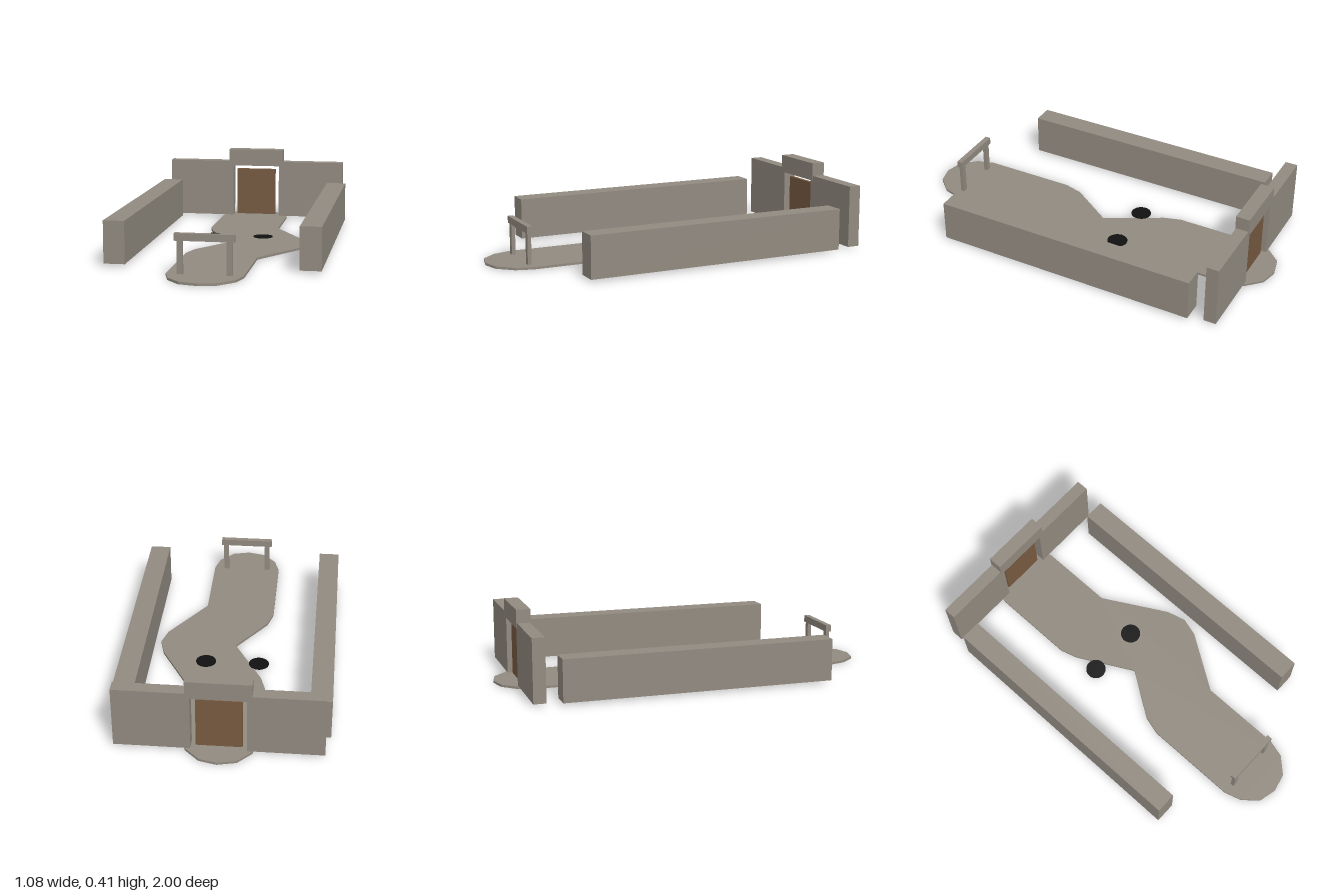
import * as THREE from 'three';

const stone = new THREE.MeshStandardMaterial({ color: 0x918a80, flatShading: true });
const wood = new THREE.MeshStandardMaterial({ color: 0x775a40, flatShading: true });
const black = new THREE.MeshStandardMaterial({ color: 0x111111 });

const FLOOR = 0.012; // top of the path, where everything stands

export function createModel() {
  const model = new THREE.Group();

  const add = (name, geometry, material, parent = model) => {
    const mesh = new THREE.Mesh(geometry, material);
    mesh.name = name;
    parent.add(mesh);
    return mesh;
  };

  // Box given by its extents along each axis
  const box = (name, [x0, x1], [y0, y1], [z0, z1], material = stone, parent = model) =>
    add(name, new THREE.BoxGeometry(x1 - x0, y1 - y0, z1 - z0), material, parent)
      .position.set((x0 + x1) / 2, (y0 + y1) / 2, (z0 + z1) / 2);

  const mirrored = (side, inner, outer) => side > 0 ? [inner, outer] : [-outer, -inner];

  // Winding path: outline as [x, z], with rounded ends and a bend to +x
  const outline = [
    [0, -1], [0.09, -0.978], [0.163, -0.905], [0.188, -0.82],
    [0.188, -0.43], [0.375, -0.1], [0.402, 0], [0.375, 0.095], [0.188, 0.38],
    [0.188, 0.81], [0.163, 0.9], [0.09, 0.977], [0, 1],
    [-0.095, 0.977], [-0.163, 0.9], [-0.19, 0.81],
    [-0.19, 0.325], [-0.163, 0.226], [-0.006, -0.005], [-0.163, -0.295], [-0.19, -0.385],
    [-0.19, -0.82], [-0.163, -0.905], [-0.095, -0.978],
  ];
  const pathShape = new THREE.Shape(outline.map(([x, z]) => new THREE.Vector2(x, -z)));
  const pathGeometry = new THREE.ExtrudeGeometry(pathShape, { depth: FLOOR, bevelEnabled: false });
  pathGeometry.rotateX(-Math.PI / 2);
  add('path', pathGeometry, stone);

  // Back wall with a doorway
  const backWall = new THREE.Group();
  backWall.name = 'backWall';
  model.add(backWall);
  box('lintel', [-0.162, 0.16], [0.311, 0.407], [-0.904, -0.831], stone, backWall);
  box('door', [-0.115, 0.113], [0.017, 0.289], [-0.878, -0.857], wood, backWall);

  // Small gate at the front end of the path
  const gate = new THREE.Group();
  gate.name = 'gate';
  model.add(gate);
  box('gateBeam', [-0.147, 0.145], [0.174, 0.21], [0.797, 0.826], stone, gate);

  for (const side of [1, -1]) {
    const label = side > 0 ? 'left' : 'right';
    box(label + 'SideWall', mirrored(side, 0.432, 0.54), [FLOOR, 0.229], [-0.759, 0.65]);
    box(label + 'BackWall', mirrored(side, 0.137, 0.515), [FLOOR, 0.337], [-0.9, -0.835], stone, backWall);
    box(label + 'GatePost', mirrored(side, 0.106, 0.134), [FLOOR, 0.174], [0.802, 0.822], stone, gate);

    // Flat round hole marker beside the bend
    add(label + 'Hole', new THREE.CylinderGeometry(0.053, 0.053, 0.004, 32), black)
      .position.set(side * 0.141 - 0.002, FLOOR + 0.001, -0.167);
  }

  return model;
}
